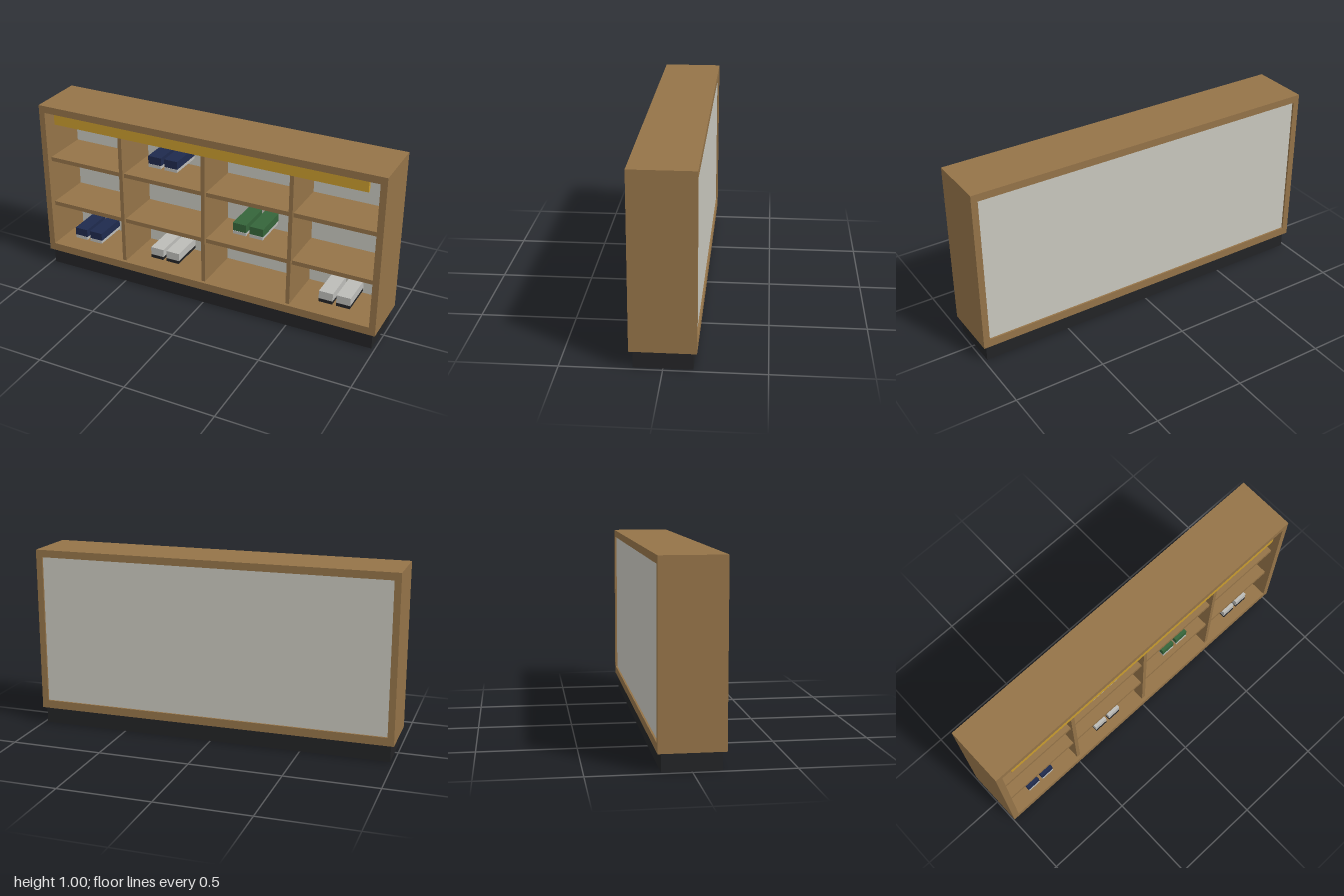
import * as THREE from 'three';

const mat = (color) => new THREE.MeshStandardMaterial({ color });
const wood = mat(0x947348);
const black = mat(0x232426);
const panel = mat(0xc8c7be);
const gold = mat(0xc99c2e);
const navy = mat(0x1f2a4d);
const green = mat(0x35653a);
const pale = mat(0xbcbcb8);

// Box given by its limits on each axis
function block(name, material, [x0, x1], [y0, y1], [z0, z1]) {
  const mesh = new THREE.Mesh(new THREE.BoxGeometry(x1 - x0, y1 - y0, z1 - z0), material);
  mesh.position.set((x0 + x1) / 2, (y0 + y1) / 2, (z0 + z1) / 2);
  mesh.name = name;
  return mesh;
}

// Two shoes side by side, each a sole with an upper
function shoePair(x, y, upper, sole) {
  const pair = new THREE.Group();
  pair.name = 'shoePair';
  for (const dx of [-0.049, 0.049]) {
    pair.add(
      block('shoeSole', sole, [dx - 0.038, dx + 0.038], [0, 0.018], [-0.08, 0.12]),
      block('shoeUpper', upper, [dx - 0.039, dx + 0.039], [0.018, 0.063], [-0.08, 0.118])
    );
  }
  pair.position.set(x, y, 0);
  return pair;
}

export function createModel() {
  const model = new THREE.Group();
  model.name = 'displayShelf';
  const D = 0.163, inX = 0.965, low = 0.137, high = 0.96, back = -0.138;

  // Plinth and outer case
  model.add(
    block('plinth', black, [-0.982, 0.982], [0, 0.092], [-0.145, 0.145]),
    block('bottomPanel', wood, [-inX, inX], [0.092, low], [-D, D]),
    block('topPanel', wood, [-1, 1], [high, 1], [-D, D]),
    block('rightSide', wood, [-1, -inX], [0.092, high], [-D, D]),
    block('leftSide', wood, [inX, 1], [0.092, high], [-D, D]),
    block('backPanel', panel, [-inX, inX], [low, high], [-0.153, back])
  );

  // Upright dividers
  for (const x of [-0.502, 0, 0.502]) {
    model.add(block('divider', wood, [x - 0.011, x + 0.011], [low, high], [back, 0.145]));
  }

  // Shelves
  for (const y of [0.387, 0.667]) {
    model.add(block('shelf', wood, [-inX, inX], [y - 0.012, y + 0.012], [back, 0.13]));
  }

  // Light strip under the top
  model.add(block('lightStrip', gold, [-0.907, 0.907], [0.9, high], [0.138, 0.157]));

  // Shoes on display
  const pairs = [
    [-0.755, 0.187, navy, pale],
    [-0.253, 0.187, pale, black],
    [0.755, 0.187, pale, black],
    [0.253, 0.469, green, pale],
    [-0.253, 0.751, navy, pale],
  ];
  for (const p of pairs) model.add(shoePair(...p));

  return model;
}
